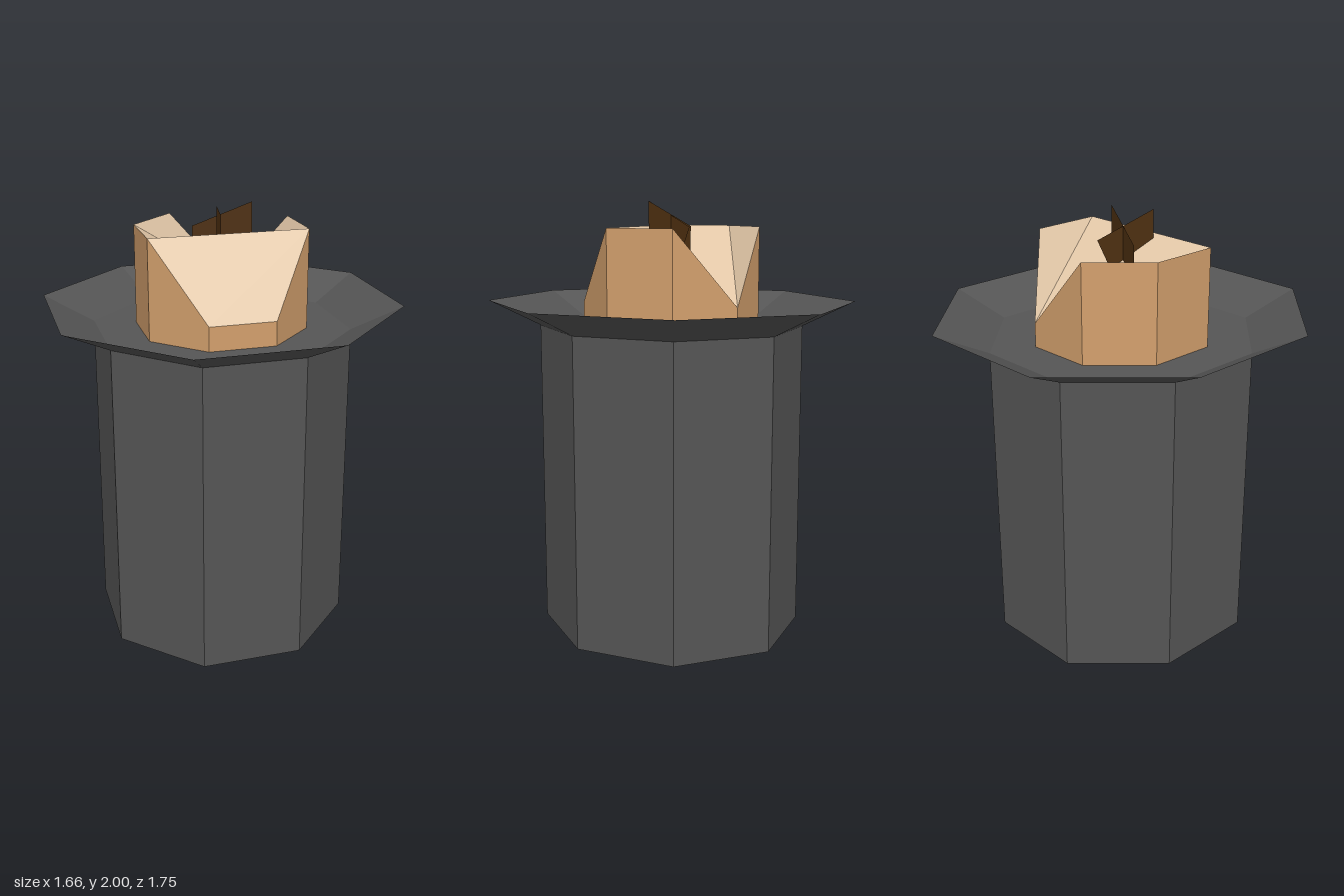
import * as THREE from 'three';

const material = (name, color, side = THREE.FrontSide) => {
  const m = new THREE.MeshStandardMaterial({ color, flatShading: true, side });
  m.name = name;
  return m;
};

export function createModel() {
  const model = new THREE.Group();
  model.name = 'candlePot';

  const charcoal = material('charcoal', 0x555555, THREE.DoubleSide);
  const cream = material('cream', 0xe3c8a8);
  const tan = material('tan', 0xd3a06d);
  const brown = material('wickBrown', 0x4d2f10, THREE.DoubleSide);

  const add = (name, geometry, mat) => {
    const mesh = new THREE.Mesh(geometry, mat);
    mesh.name = name;
    model.add(mesh);
    return mesh;
  };

  const SIDES = 8, FLOOR = 1.43, LIP = 1.545, DEPTH = 1.055;

  // Eight-sided pot body with a closed top that forms the tray floor
  const body = new THREE.CylinderGeometry(0.595, 0.595, FLOOR, SIDES);
  body.translate(0, FLOOR / 2, 0).scale(1, 1, DEPTH);
  add('potBody', body, charcoal);

  // Flared thin brim
  const brim = new THREE.CylinderGeometry(0.83, 0.595, LIP - FLOOR, SIDES, 1, true);
  brim.translate(0, (LIP + FLOOR) / 2, 0).scale(1, 1, DEPTH);
  add('brim', brim, charcoal);

  // Candle: an octagon whose top corners are either melted low or still high
  const HIGH = 1.885, LOW = 1.54;
  const heights = [LOW, LOW, HIGH, HIGH, LOW, HIGH, HIGH, HIGH];
  const corner = (i, y) => {
    const a = (i % SIDES) * Math.PI / 4;
    return [0.395 * Math.sin(a), y, 0.417 * Math.cos(a)];
  };
  const top = (i) => corner(i, heights[i % SIDES]);
  const base = (i) => corner(i, FLOOR);
  const fromPoints = (points) => {
    const g = new THREE.BufferGeometry();
    g.setAttribute('position', new THREE.Float32BufferAttribute(points.flat(), 3));
    g.computeVertexNormals();
    return g;
  };

  const walls = [];
  for (let i = 0; i < SIDES; i++) {
    walls.push(base(i), base(i + 1), top(i + 1), base(i), top(i + 1), top(i));
  }
  add('candleWalls', fromPoints(walls), tan);

  // Faceted melted surface
  const facets = [[0, 1, 2], [0, 2, 7], [2, 3, 4], [2, 4, 7], [4, 6, 7], [4, 5, 6]];
  add('meltedTop', fromPoints(facets.flat().map(top)), cream);

  // Wick: two crossed upright blades with slanted tops
  const blade = (name, outline) => add(name, new THREE.ShapeGeometry(
    new THREE.Shape(outline.map(([u, y]) => new THREE.Vector2(u, y)))), brown);
  blade('wickBladeAcross', [[0.14, 2], [-0.13, 1.885], [-0.13, 1.74], [0.14, 1.8]]);
  const deep = blade('wickBladeDeep', [[0.145, 2], [-0.12, 1.885], [-0.055, 1.74], [0.145, 1.8]]);
  deep.rotation.y = -Math.PI / 2;

  return model;
}
